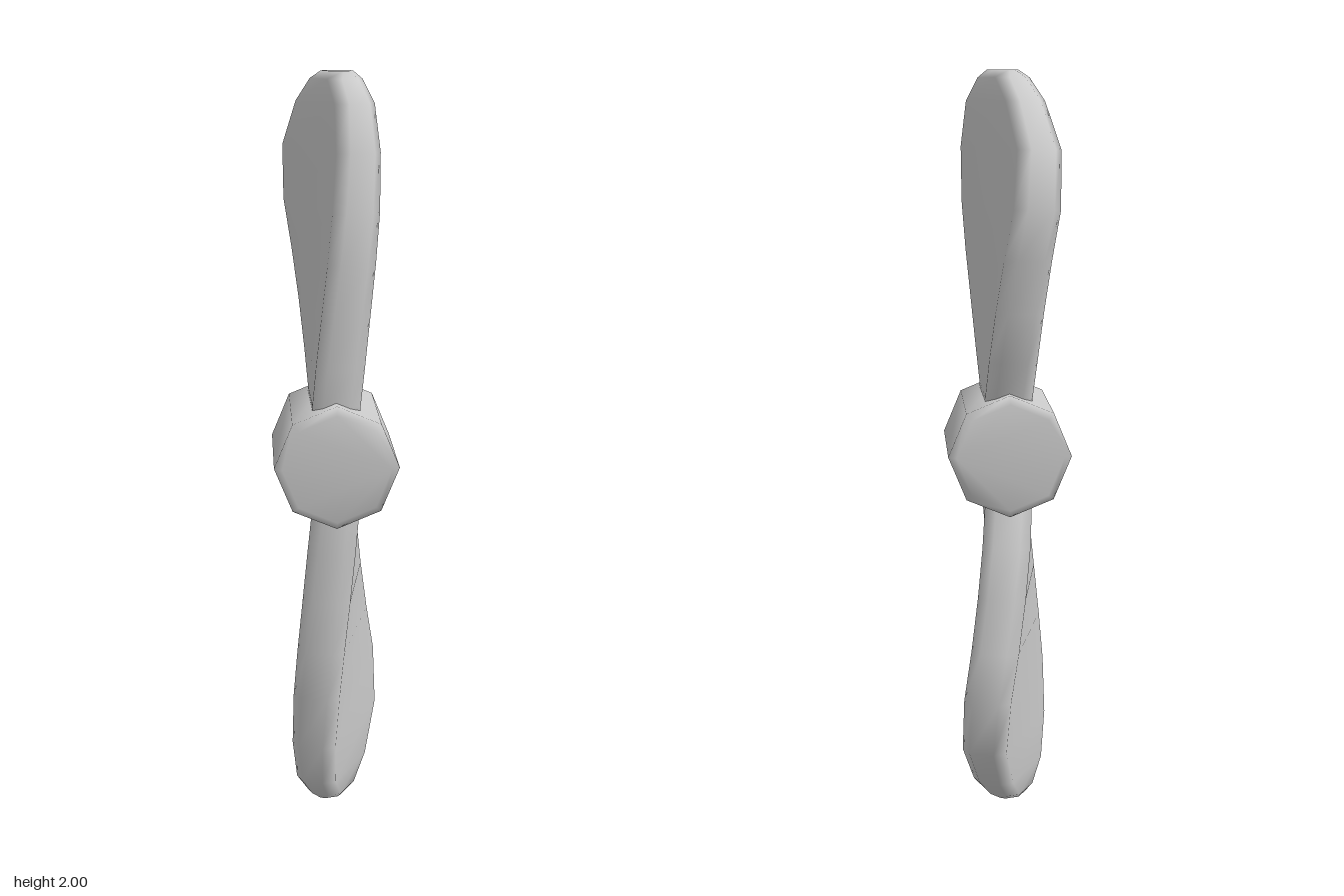
import * as THREE from 'three';

const material = new THREE.MeshStandardMaterial({ color: 0xcccccc });

// Skin equal-length rings (counter-clockwise about the loft direction) and cap both ends
function loft(rings) {
  const n = rings[0].length;
  const points = rings.flat();
  const index = [];
  for (let r = 0; r < rings.length - 1; r++) {
    for (let j = 0; j < n; j++) {
      const a = r * n + j, b = r * n + (j + 1) % n;
      index.push(a, b, b + n, a, b + n, a + n);
    }
  }
  const last = (rings.length - 1) * n;
  for (let j = 1; j < n - 1; j++) {
    index.push(0, j + 1, j, last, last + j, last + j + 1);
  }
  const geometry = new THREE.BufferGeometry().setFromPoints(points);
  geometry.setIndex(index);
  geometry.computeVertexNormals(); // area-weighted: broad faces stay flat, bevels look soft
  return geometry;
}

// Eight-sided hub section
function hubRing(z, radius) {
  return Array.from({ length: 8 }, (_, i) => {
    const a = i * Math.PI / 4;
    return new THREE.Vector3(radius * Math.cos(a), radius * Math.sin(a), z);
  });
}

// Bevelled rectangular blade section, twisted more towards the tip
function bladeRing([y, back, front, t]) {
  const c = 0.028;
  const twist = THREE.MathUtils.degToRad(27) * Math.max(0, (y - 0.13) / 0.87);
  return [
    [t - c, front], [t, front - c], [t, back + c], [t - c, back],
    [c - t, back], [-t, back + c], [-t, front - c], [c - t, front],
  ].map(([x, z]) => new THREE.Vector3(
    x * Math.cos(twist) + z * Math.sin(twist), y,
    z * Math.cos(twist) - x * Math.sin(twist)));
}

export function createModel() {
  const model = new THREE.Group();
  model.name = 'propeller';

  // Hub with chamfered ends
  const hub = new THREE.Mesh(loft([
    hubRing(-0.17, 0.142), hubRing(-0.15, 0.163),
    hubRing(0.243, 0.163), hubRing(0.263, 0.142),
  ]), material);
  hub.name = 'hub';
  hub.position.y = 1;
  model.add(hub);

  // Blade stations: height above the hub axis, trailing z, leading z, half thickness
  const bladeGeometry = loft([
    [0.05, -0.09, 0.195, 0.062],
    [0.15, -0.115, 0.203, 0.063],
    [0.25, -0.165, 0.208, 0.064],
    [0.38, -0.20, 0.214, 0.064],
    [0.52, -0.232, 0.219, 0.064],
    [0.65, -0.26, 0.214, 0.064],
    [0.80, -0.228, 0.192, 0.062],
    [0.92, -0.13, 0.15, 0.058],
    [0.98, -0.058, 0.092, 0.052],
    [1.0, -0.028, 0.07, 0.036],
  ].map(bladeRing));

  // Two blades, half a turn apart about the hub axis
  ['upperBlade', 'lowerBlade'].forEach((name, i) => {
    const blade = new THREE.Mesh(bladeGeometry, material);
    blade.name = name;
    blade.position.y = 1;
    blade.rotation.z = i * Math.PI;
    model.add(blade);
  });

  return model;
}
